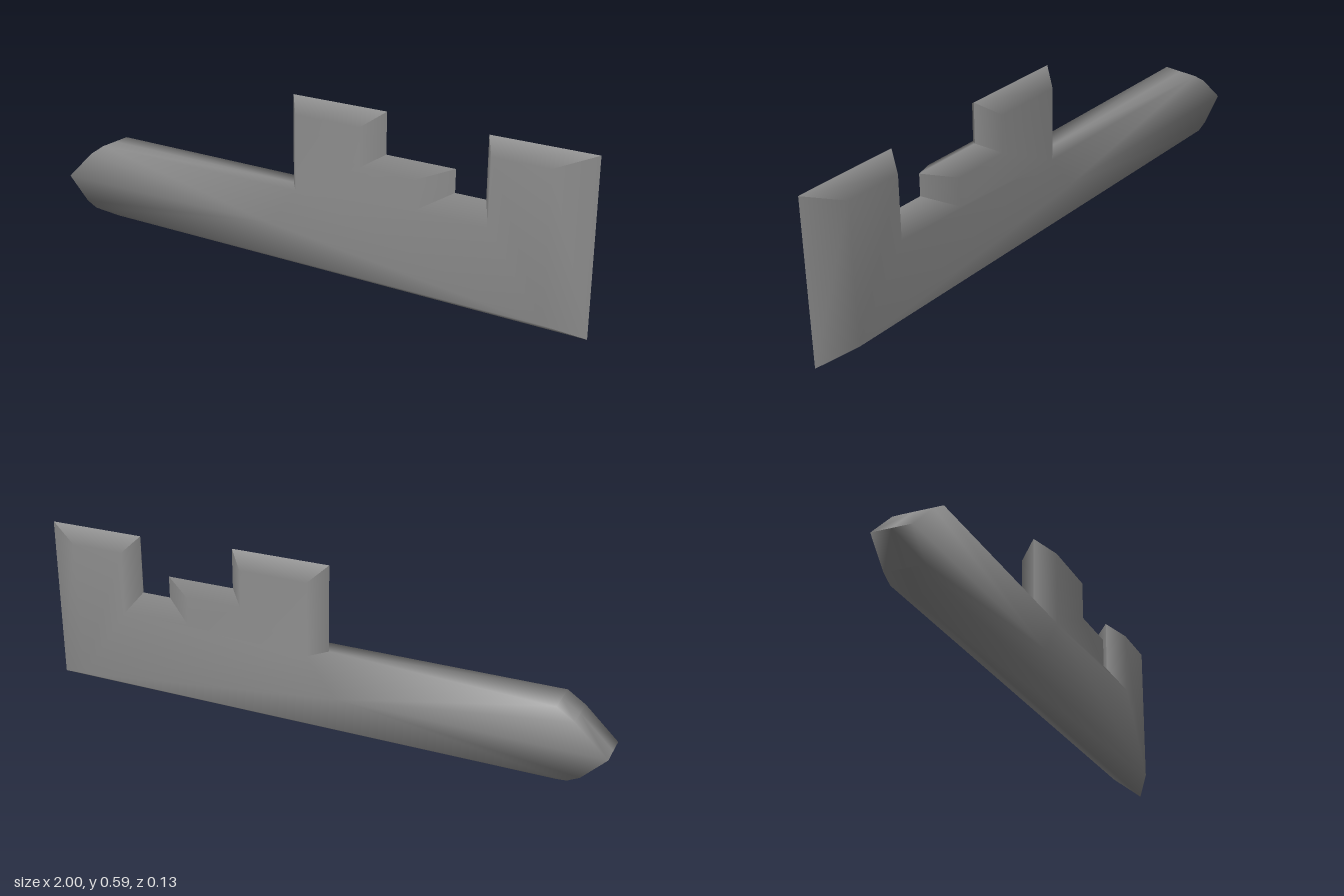
import * as THREE from 'three';

const HALF = 0.063; // half thickness of the slab

// Each row: ridge x, ridge y (on the mid plane), then side x, side y. Counter-clockwise.
const PROFILE = [
  // keel and stern
  [-0.83, 0, -0.88, 0.04],
  [1, 0, 0.88, 0.04],
  [1, 0.575, 0.88, 0.53],
  [0.65, 0.575, 0.69, 0.53],
  // stepped decks
  [0.65, 0.37, 0.69, 0.31],
  [0.545, 0.37, 0.44, 0.31],
  [0.545, 0.447, 0.44, 0.41],
  [0.3, 0.447, 0.24, 0.41],
  // tower
  [0.3, 0.587, 0.24, 0.542],
  [-0.05, 0.587, 0, 0.542],
  [-0.05, 0.285, 0, 0.285],
  // flat foredeck and chisel bow
  [-0.83, 0.285, -0.83, 0.285],
  [-0.89, 0.245, -0.89, 0.245],
  [-1, 0.14, -1, 0.14],
  [-0.92, 0.06, -0.92, 0.06],
];
const COUNT = PROFILE.length;
const BOW = [0, 11, 12, 13, 14]; // rows shaded as a rounded bow
const SOFT_RIDGES = [4, 6]; // deck edges shaded smoothly across the ridge

// Side faces as loops of rows; the extra last point lies inside the side
const CAPS = [
  [COUNT, 0, 1, 2, 3, 4, 5, 6, 7, 8, 9, 10],
  [COUNT, 10, 11, 12, 13],
  [COUNT, 13, 14, 0],
];

// Ridge loop joined to a side loop by bevels, the sides closed by caps, mirrored in z
function bevelledSlab() {
  const ridge = PROFILE.map(([x, y]) => new THREE.Vector3(x, y, 0));
  const side = PROFILE.map(([, , x, y]) => new THREE.Vector3(x, y, HALF));
  side.push(new THREE.Vector3(-0.1, 0.15, HALF));

  // one flat normal per bevel
  const bevel = ridge.map((p, i) => {
    const along = ridge[(i + 1) % COUNT].clone().sub(p);
    const across = side[i].clone().sub(p);
    return along.cross(across).normalize();
  });
  // side corners lean towards the bevels, strongly at the bow
  const corner = side.map((p, i) => {
    const n = new THREE.Vector3(0, 0, BOW.includes(i) ? 1.5 : 10);
    if (i < COUNT) n.add(bevel[i]).add(bevel[(i + COUNT - 1) % COUNT]);
    return n.normalize();
  });

  const positions = [];
  const normals = [];
  const triangle = (...corners) => {
    for (const s of [1, -1]) {
      for (const [p, n] of s > 0 ? corners : [...corners].reverse()) {
        positions.push(p.x, p.y, s * p.z);
        normals.push(n.x, n.y, s * n.z);
      }
    }
  };

  // bevels
  for (let i = 0; i < COUNT; i++) {
    const j = (i + 1) % COUNT;
    const top = SOFT_RIDGES.includes(i) ? new THREE.Vector3(0, 1, 0) : bevel[i];
    triangle([ridge[i], top], [ridge[j], top], [side[j], corner[j]]);
    triangle([ridge[i], top], [side[j], corner[j]], [side[i], corner[i]]);
  }

  // side caps
  for (const loop of CAPS) {
    const contour = loop.map((k) => new THREE.Vector2(side[k].x, side[k].y));
    for (const face of THREE.ShapeUtils.triangulateShape(contour, [])) {
      triangle(...face.map((f) => [side[loop[f]], corner[loop[f]]]));
    }
  }

  const geometry = new THREE.BufferGeometry();
  geometry.setAttribute('position', new THREE.Float32BufferAttribute(positions, 3));
  geometry.setAttribute('normal', new THREE.Float32BufferAttribute(normals, 3));
  return geometry;
}

export function createModel() {
  const group = new THREE.Group();
  group.name = 'bevelledSteppedSlab';
  const body = new THREE.Mesh(
    bevelledSlab(),
    new THREE.MeshStandardMaterial({ color: 0x8a8a8a })
  );
  body.name = 'body';
  group.add(body);
  return group;
}
